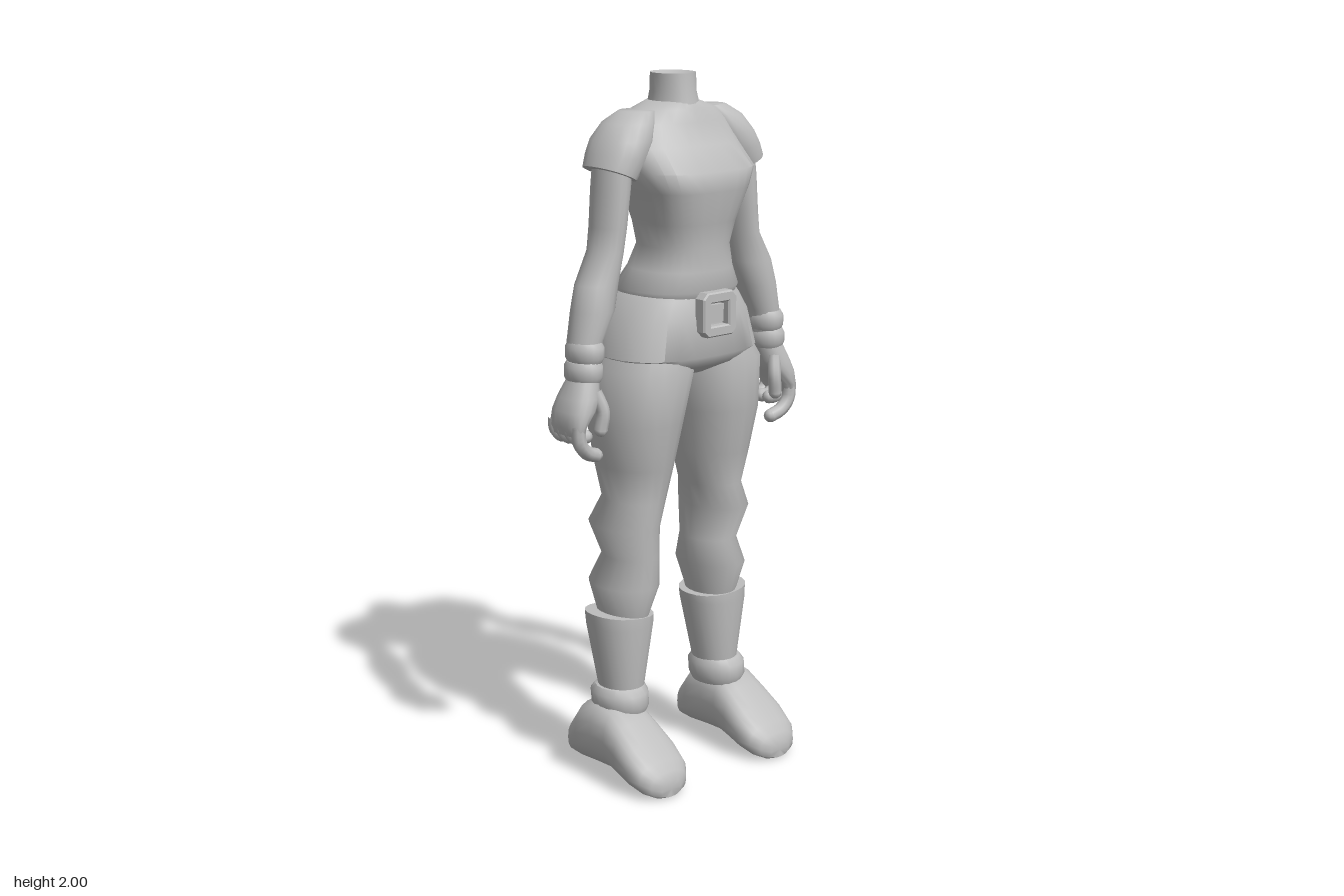
import * as THREE from 'three';
import { toCreasedNormals } from 'three/addons/utils/BufferGeometryUtils.js';

const grey = new THREE.MeshStandardMaterial({ color: 0xbdbdbd });
grey.name = 'plain grey';

function add(parent, name, geo) {
  const mesh = new THREE.Mesh(geo, grey);
  mesh.name = name;
  parent.add(mesh);
  return mesh;
}

// Superellipse sections joined into a closed skin.
// Section: { c: centre, a, b: radii, p: roundness power, tilt: slope along z, s: side }
// axis 'y' expects sections from top to bottom, axis 'x' from back to front.
function loft(sections, axis = 'y', n = 20, dip = 0) {
  const pos = [], idx = [];
  const pow = (v, e) => Math.sign(v) * Math.abs(v) ** e;
  for (const { c, a, b, p = 2, tilt = 0, s = 1 } of sections) {
    for (let j = 0; j < n; j++) {
      const t = (j / n) * Math.PI * 2;
      const u = a * pow(Math.cos(t), 2 / p), v = b * pow(Math.sin(t), 2 / p);
      if (axis === 'y') pos.push(c[0] + u, c[1] + (tilt * s * v) / b, c[2] + v);
      else pos.push(c[0], c[1] + u, c[2] + v);
    }
  }
  const last = sections.length - 1, base = pos.length / 3;
  for (let i = 0; i < last; i++) {
    for (let j = 0; j < n; j++) {
      const k = (j + 1) % n, A = i * n, B = A + n;
      idx.push(A + j, A + k, B + j, A + k, B + k, B + j);
    }
  }
  const c0 = sections[0].c, c1 = sections[last].c;
  pos.push(c0[0], c0[1] - dip, c0[2], ...c1);
  for (let j = 0; j < n; j++) {
    const k = (j + 1) % n;
    idx.push(base, k, j, base + 1, last * n + j, last * n + k);
  }
  const g = new THREE.BufferGeometry();
  g.setAttribute('position', new THREE.Float32BufferAttribute(pos, 3));
  g.setIndex(idx);
  return toCreasedNormals(g, 0.95);
}

// Rows [y, back x, front x, inner z, outer z, power, tilt], placed on side s
const column = (rows, s, n) => loft(rows.map(([y, x0, x1, z0, z1, p, tilt]) => ({
  c: [(x0 + x1) / 2, y, (s * (z0 + z1)) / 2], a: (x1 - x0) / 2, b: (z1 - z0) / 2, p, tilt, s,
})), 'y', n);

// Rows [y, back x, front x, half width, power] centred on the body
const trunk = (rows, dip) => loft(rows.map(([y, x0, x1, w, p]) => ({
  c: [(x0 + x1) / 2, y, 0], a: (x1 - x0) / 2, b: w, p,
})), 'y', 28, dip);

// Tapered finger: tube with a rounded tip
function finger(parent, name, pts, r, s) {
  const path = new THREE.CatmullRomCurve3(pts.map(([x, y, z]) => new THREE.Vector3(x, y, z * s)));
  add(parent, name, new THREE.TubeGeometry(path, 10, r, 8));
  const tip = add(parent, name + 'Tip', new THREE.SphereGeometry(r, 8, 6));
  tip.position.copy(path.getPoint(1));
}

function buildArm(s) {
  const arm = new THREE.Group();
  arm.name = s > 0 ? 'leftArm' : 'rightArm';
  add(arm, 'sleeve', column([
    [1.905, -0.085, 0.02, 0.08, 0.18],
    [1.875, -0.11, 0.045, 0.09, 0.232],
    [1.83, -0.125, 0.062, 0.11, 0.265, 2.2],
    [1.785, -0.122, 0.066, 0.14, 0.282, 2.2, 0.012],
    [1.742, -0.112, 0.06, 0.178, 0.294, 2.2, 0.024],
  ], s));
  add(arm, 'armSkin', column([
    [1.8, -0.09, 0.04, 0.175, 0.27],
    [1.7, -0.09, 0.042, 0.19, 0.28],
    [1.6, -0.088, 0.04, 0.204, 0.287],
    [1.535, -0.085, 0.036, 0.213, 0.297],
    [1.45, -0.08, 0.037, 0.228, 0.35],
    [1.38, -0.082, 0.044, 0.246, 0.366],
    [1.3, -0.07, 0.034, 0.287, 0.383],
    [1.19, -0.058, 0.036, 0.304, 0.385],
  ], s));
  // Two stacked bands at the wrist
  for (const [y, z] of [[1.27, 0.341], [1.218, 0.346]]) {
    add(arm, 'wristBand', column([
      [y + 0.028, -0.064, 0.038, z - 0.044, z + 0.042],
      [y + 0.014, -0.072, 0.046, z - 0.051, z + 0.049],
      [y - 0.014, -0.072, 0.046, z - 0.051, z + 0.049],
      [y - 0.028, -0.064, 0.038, z - 0.044, z + 0.042],
    ], s));
  }
  add(arm, 'palm', column([
    [1.2, -0.06, 0.038, 0.308, 0.388],
    [1.15, -0.078, 0.05, 0.314, 0.41, 2.4],
    [1.115, -0.083, 0.054, 0.335, 0.422, 2.6],
    [1.075, -0.082, 0.052, 0.372, 0.426, 2.6],
    [1.05, -0.076, 0.046, 0.382, 0.418, 2.6],
  ], s));
  finger(arm, 'indexFinger', [[0.03, 1.08, 0.402], [0.03, 1.03, 0.396], [0.027, 1.0, 0.37], [0.022, 0.986, 0.334]], 0.02, s);
  for (let i = 1; i < 4; i++) {
    const x = 0.03 - i * 0.032;
    finger(arm, 'curledFinger', [[x, 1.09, 0.403], [x, 1.055, 0.4], [x, 1.035, 0.378], [x, 1.036, 0.35]], 0.02, s);
  }
  finger(arm, 'thumb', [[0.028, 1.165, 0.34], [0.045, 1.11, 0.326], [0.042, 1.06, 0.332]], 0.019, s);
  return arm;
}

function buildLeg(s) {
  const leg = new THREE.Group();
  leg.name = s > 0 ? 'leftLeg' : 'rightLeg';
  add(leg, 'trouserLeg', column([
    [1.3, -0.17, 0.1, 0.02, 0.2],
    [1.2, -0.188, 0.132, -0.004, 0.257, 2.3],
    [1.05, -0.18, 0.112, 0.022, 0.267, 2.2],
    [0.92, -0.165, 0.09, 0.045, 0.246],
    [0.82, -0.142, 0.066, 0.066, 0.226],
    [0.745, -0.17, 0.07, 0.088, 0.257],
    [0.65, -0.143, 0.046, 0.078, 0.222],
    [0.57, -0.173, 0.058, 0.078, 0.257],
    [0.48, -0.148, 0.028, 0.108, 0.232],
    [0.44, -0.14, 0.02, 0.11, 0.23],
  ], s));
  add(leg, 'bootShaft', column([
    [0.482, -0.16, 0.034, 0.086, 0.276, 2.2, 0.008],
    [0.45, -0.157, 0.034, 0.088, 0.273, 2.2],
    [0.25, -0.122, 0.014, 0.122, 0.244],
  ], s));
  add(leg, 'ankleCuff', column([
    [0.268, -0.13, 0.022, 0.12, 0.256],
    [0.25, -0.145, 0.036, 0.112, 0.268],
    [0.215, -0.142, 0.04, 0.112, 0.267],
    [0.192, -0.13, 0.03, 0.122, 0.256],
  ], s));
  // Shoe: [x, sole y, top y, half width]
  const shoe = [
    [-0.19, 0.045, 0.1, 0.045], [-0.178, 0.035, 0.145, 0.068], [-0.13, 0.032, 0.21, 0.082],
    [-0.06, 0.034, 0.232, 0.084], [0.0, 0.036, 0.222, 0.086], [0.05, 0.025, 0.188, 0.09],
    [0.11, 0.014, 0.142, 0.096], [0.16, 0.005, 0.1, 0.088], [0.185, 0.001, 0.075, 0.066], [0.197, 0.004, 0.05, 0.035],
  ];
  add(leg, 'shoe', loft(shoe.map(([x, y0, y1, w]) => ({
    c: [x, (y0 + y1) / 2, s * 0.214], a: (y1 - y0) / 2, b: w, p: 2.6,
  })), 'x'));
  return leg;
}

export function createModel() {
  const model = new THREE.Group();
  model.name = 'headlessFigure';
  const body = new THREE.Group();
  body.name = 'body';
  body.rotation.y = -0.07;
  model.add(body);

  add(body, 'neck', trunk([
    [2.0, -0.1, 0.035, 0.06],
    [1.95, -0.105, 0.04, 0.058],
    [1.88, -0.115, 0.055, 0.075],
  ], 0.03));
  add(body, 'shirt', trunk([
    [1.925, -0.11, 0.042, 0.066],
    [1.905, -0.125, 0.055, 0.13],
    [1.87, -0.14, 0.068, 0.185],
    [1.81, -0.158, 0.1, 0.2, 2.3],
    [1.745, -0.148, 0.163, 0.198, 2.8],
    [1.69, -0.13, 0.163, 0.17, 2.8],
    [1.6, -0.115, 0.14, 0.14, 2.5],
    [1.535, -0.116, 0.132, 0.121, 2.4],
    [1.47, -0.145, 0.134, 0.142, 2.3],
    [1.415, -0.18, 0.138, 0.172, 2.3],
    [1.395, -0.172, 0.128, 0.165, 2.3],
  ], 0));
  add(body, 'hips', trunk([
    [1.43, -0.15, 0.118, 0.145, 2.3],
    [1.39, -0.185, 0.132, 0.182, 2.3],
    [1.34, -0.208, 0.14, 0.216, 2.4],
    [1.235, -0.196, 0.148, 0.243, 2.5],
    [1.205, -0.17, 0.128, 0.2, 2.3],
    [1.175, -0.1, 0.07, 0.07],
  ], 0));

  // Square belt buckle with an open frame
  const frame = new THREE.Shape();
  const h = 0.058, c = 0.014;
  frame.moveTo(-h + c, -h).lineTo(h - c, -h).lineTo(h, -h + c).lineTo(h, h - c)
    .lineTo(h - c, h).lineTo(-h + c, h).lineTo(-h, h - c).lineTo(-h, -h + c).closePath();
  const k = 0.036;
  frame.holes.push(new THREE.Path().moveTo(-k, -k).lineTo(-k, k).lineTo(k, k).lineTo(k, -k).closePath());
  const buckle = add(body, 'buckleFrame', new THREE.ExtrudeGeometry(frame, {
    depth: 0.03, bevelThickness: 0.005, bevelSize: 0.004, bevelSegments: 1,
  }));
  buckle.rotation.y = Math.PI / 2;
  buckle.position.set(0.132, 1.355, 0.004);
  const plate = add(body, 'bucklePlate', new THREE.BoxGeometry(0.03, 0.05, 0.05));
  plate.position.set(0.137, 1.355, 0.004);

  for (const s of [1, -1]) body.add(buildArm(s), buildLeg(s));
  return model;
}
